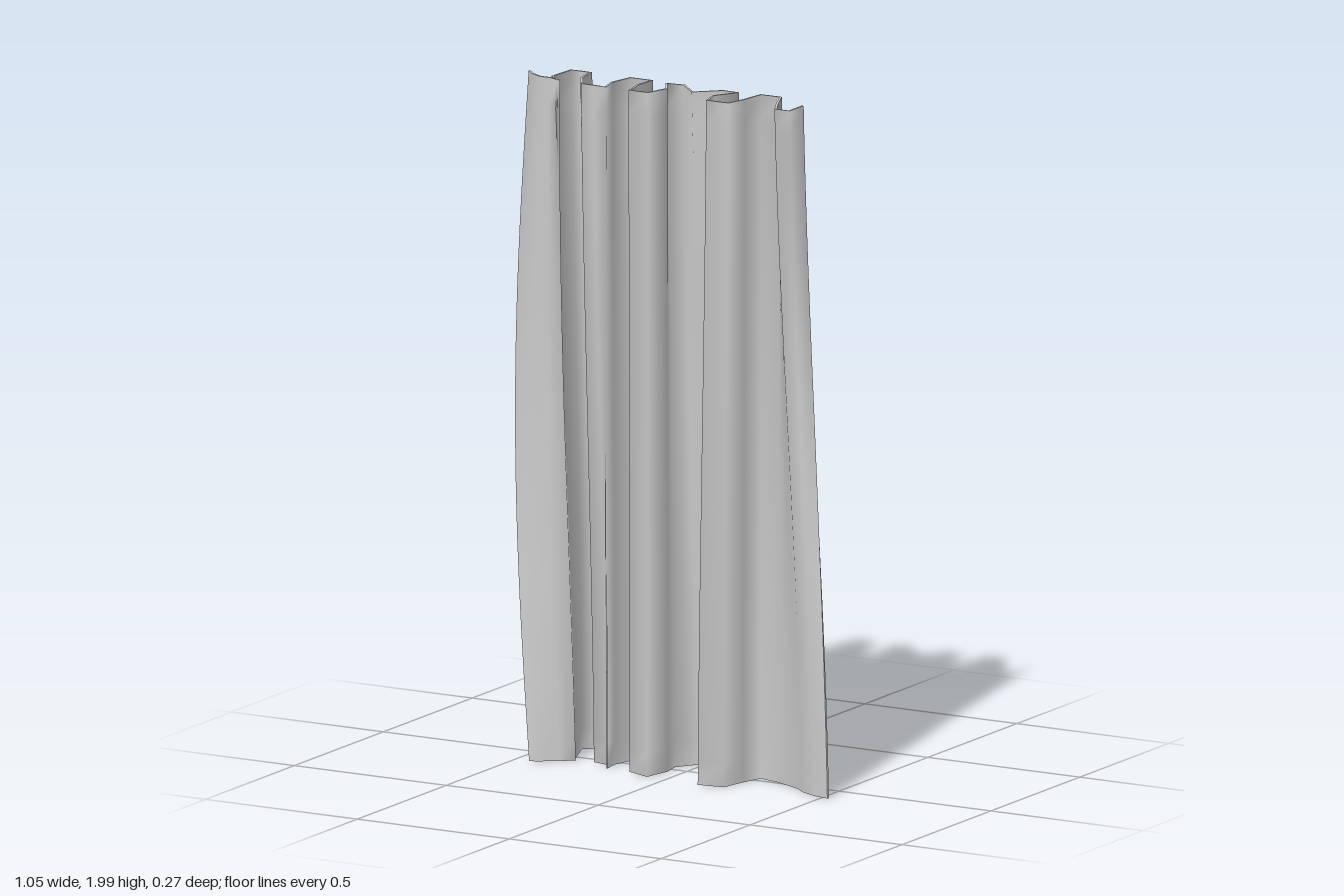
import * as THREE from 'three';

// Plan outlines of the cloth (x, z), from the right-hand edge to the left-hand edge
const TOP = [
  [-0.5, 0.03], [-0.475, 0.055], [-0.44, 0.075], [-0.405, 0.075], [-0.37, 0.09], [-0.41, 0.055],
  [-0.405, -0.04], [-0.37, -0.04], [-0.34, -0.04], [-0.33, 0.03], [-0.29, 0.095], [-0.25, 0.097],
  [-0.21, 0.1], [-0.225, 0.04], [-0.21, -0.04], [-0.14, -0.04], [-0.145, 0.03], [-0.13, 0.1],
  [-0.07, 0.1], [-0.05, 0.03], [-0.085, -0.03], [-0.03, -0.035], [0.035, 0.03], [0.1, -0.03],
  [0.15, -0.03], [0.11, 0.04], [0.125, 0.1], [0.195, 0.1], [0.21, 0.04], [0.22, -0.04],
  [0.285, -0.04], [0.32, 0.04], [0.35, 0.1], [0.395, 0.1], [0.395, 0.025],
];
const HEM = [
  [-0.455, 0.11], [-0.43, 0.1], [-0.4, 0.075], [-0.385, 0.065], [-0.345, 0.04], [-0.36, 0.02],
  [-0.405, -0.095], [-0.365, -0.12], [-0.325, -0.135], [-0.295, -0.04], [-0.285, 0.03], [-0.235, 0.04],
  [-0.215, 0.085], [-0.225, 0.03], [-0.195, -0.095], [-0.135, -0.07], [-0.14, 0.02], [-0.135, 0.085],
  [-0.065, 0.115], [-0.05, 0.03], [-0.06, -0.03], [-0.02, -0.09], [0.04, -0.115], [0.11, -0.08],
  [0.145, -0.045], [0.1, 0.05], [0.115, 0.13], [0.19, 0.12], [0.205, 0.04], [0.225, -0.03],
  [0.3, -0.01], [0.385, 0.03], [0.42, 0.06], [0.47, 0.085], [0.52, 0.095],
];
const COLS = TOP.length, ROWS = 28, THICK = 0.007;

// Cloth outline at t = 0 (top) to 1 (hem): folds ease open, the right-hand edge billows
function section(t) {
  const e = 0.5 * t + 0.5 * t * t * (3 - 2 * t);
  return TOP.map(([x, z], i) => {
    const billow = -0.045 * Math.max(0, 1 - i / 5) * Math.sin(Math.PI * t);
    return new THREE.Vector3(
      x + (HEM[i][0] - x) * e + billow, 2 - 1.99 * t, z + (HEM[i][1] - z) * e);
  });
}

// Shift an outline sideways in plan, along its own normal
function offset(line, d) {
  return line.map((p, i) => {
    const a = line[Math.max(i - 1, 0)], b = line[Math.min(i + 1, line.length - 1)];
    const n = new THREE.Vector3(a.z - b.z, 0, b.x - a.x).normalize();
    return p.clone().addScaledVector(n, d);
  });
}

// Surface through rows of points; flip turns it round
function sheet(name, rows, material, flip = false) {
  const n = rows[0].length, index = [];
  for (let r = 0; r < rows.length - 1; r++) {
    for (let c = 0; c < n - 1; c++) {
      const a = r * n + c, b = a + 1, d = a + n, e = d + 1;
      if (flip) index.push(a, b, d, b, e, d);
      else index.push(a, d, b, b, d, e);
    }
  }
  const geometry = new THREE.BufferGeometry().setFromPoints(rows.flat());
  geometry.setIndex(index);
  geometry.computeVertexNormals();
  const mesh = new THREE.Mesh(geometry, material);
  mesh.name = name;
  return mesh;
}

export function createModel() {
  const curtain = new THREE.Group();
  curtain.name = 'curtain';
  const cloth = new THREE.MeshStandardMaterial({ color: 0xcccccc, side: THREE.DoubleSide });

  const lines = Array.from({ length: ROWS + 1 }, (_, r) => section(r / ROWS));
  const front = lines.map((l) => offset(l, THICK / 2));
  const back = lines.map((l) => offset(l, -THICK / 2));

  // Two faces of the cloth
  curtain.add(sheet('clothFront', front, cloth), sheet('clothBack', back, cloth, true));
  // Narrow strips closing the four borders
  curtain.add(sheet('topEdge', [back[0], front[0]], cloth));
  curtain.add(sheet('hem', [front[ROWS], back[ROWS]], cloth));
  for (const [name, c] of [['rightEdge', 0], ['leftEdge', COLS - 1]]) {
    const strip = [front.map((l) => l[c]), back.map((l) => l[c])];
    curtain.add(sheet(name, strip, cloth, c === 0));
  }
  // Stand on the ground
  curtain.position.y = -0.005;
  return curtain;
}
